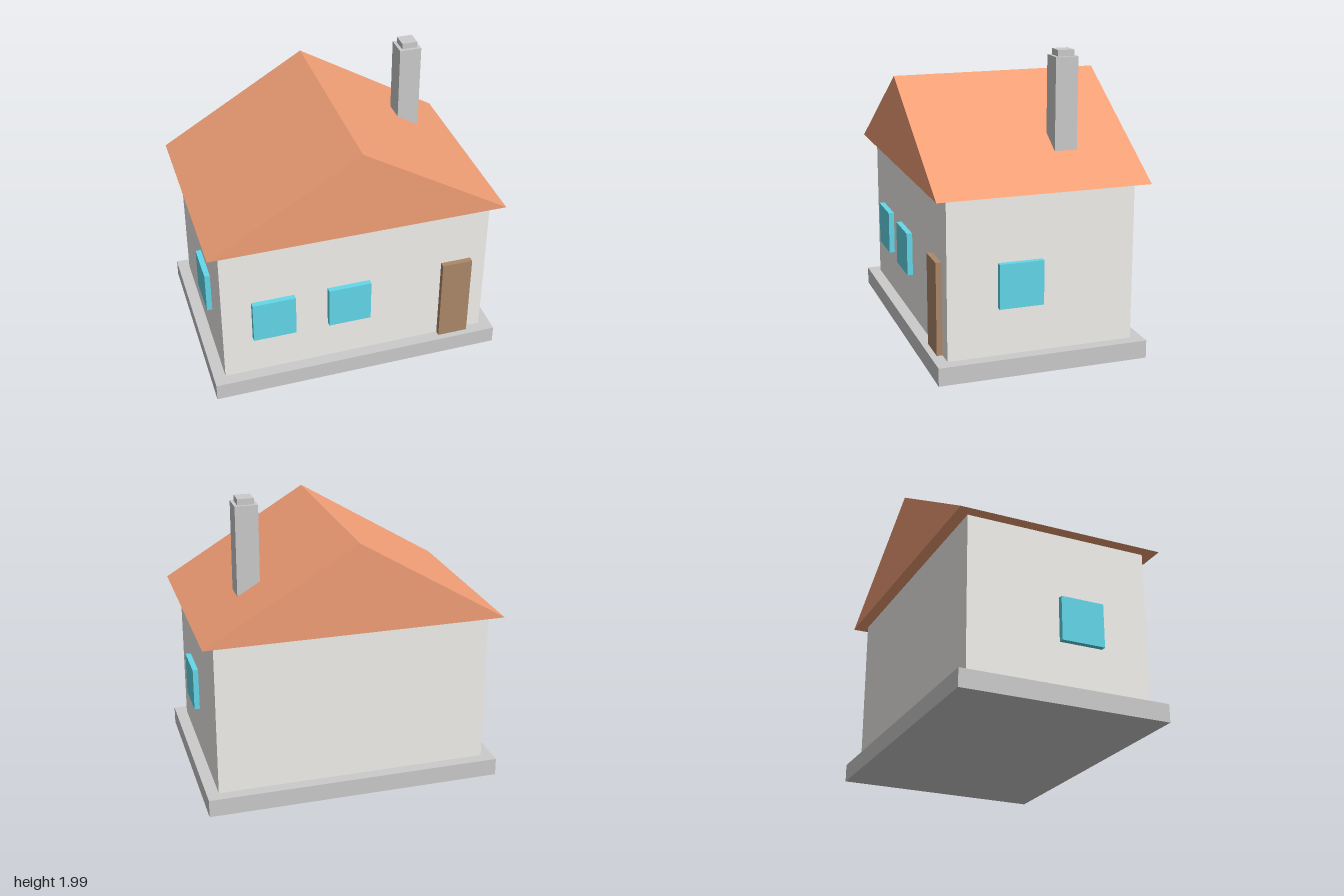
import * as THREE from 'three';

export function createModel() {
  const house = new THREE.Group();
  house.name = 'house';

  const mat = (color) => new THREE.MeshStandardMaterial({ color });
  const grey = mat(0xcccccc);
  const plaster = mat(0xf2f1ec);
  const tile = mat(0xf29f76);
  const glass = mat(0x63d8ea);
  const wood = mat(0xad886a);

  // Box given by its lower and upper corners
  function box(name, material, [x0, y0, z0], [x1, y1, z1]) {
    const mesh = new THREE.Mesh(new THREE.BoxGeometry(x1 - x0, y1 - y0, z1 - z0), material);
    mesh.position.set((x0 + x1) / 2, (y0 + y1) / 2, (z0 + z1) / 2);
    mesh.name = name;
    house.add(mesh);
  }

  box('foundation', grey, [-1, 0, -0.7], [1, 0.12, 0.7]);
  box('walls', plaster, [-0.92, 0.12, -0.62], [0.92, 1.17, 0.62]);

  // Gabled roof, a solid triangular prism with its ridge along z
  const gable = new THREE.Shape([
    new THREE.Vector2(-1, 1.17),
    new THREE.Vector2(1, 1.17),
    new THREE.Vector2(0, 1.77),
  ]);
  const roof = new THREE.Mesh(
    new THREE.ExtrudeGeometry(gable, { depth: 1.4, bevelEnabled: false }), tile);
  roof.position.z = -0.7;
  roof.name = 'roof';
  house.add(roof);

  // Chimney sunk into the right-hand slope, with a smaller flue on top
  box('chimney', grey, [0.545, 1.3, -0.315], [0.695, 1.95, -0.165]);
  box('chimneyFlue', grey, [0.567, 1.95, -0.295], [0.673, 1.99, -0.187]);

  // Front door and windows stand slightly proud of the wall
  box('door', wood, [0.6, 0.12, 0.6], [0.81, 0.735, 0.658]);
  for (const x of [-0.72, -0.2]) {
    box('frontWindow', glass, [x, 0.415, 0.6], [x + 0.292, 0.71, 0.658]);
  }

  // One window on each side wall
  for (const x of [-0.957, 0.9]) {
    box('sideWindow', glass, [x, 0.437, -0.003], [x + 0.057, 0.73, 0.29]);
  }

  return house;
}
